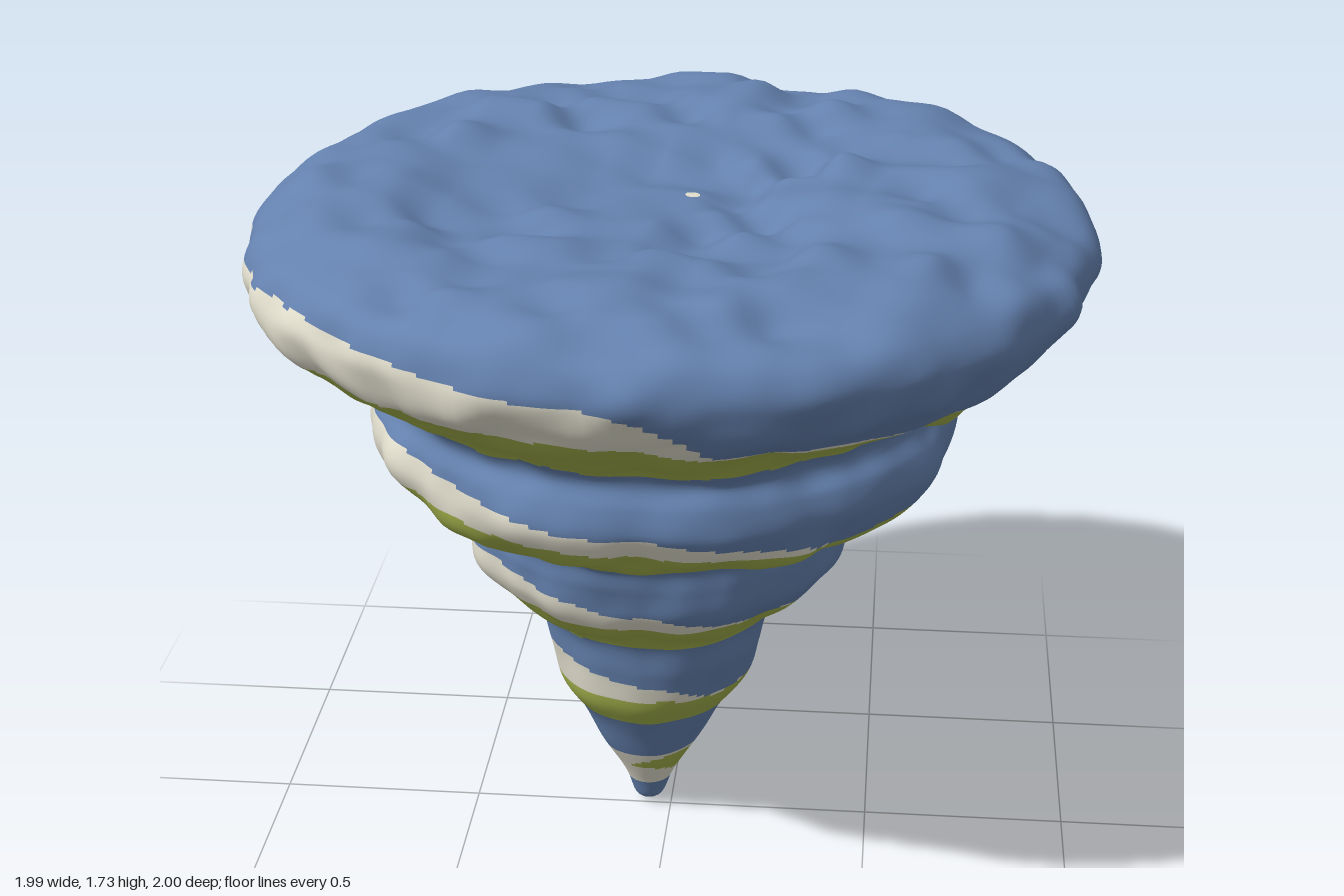
import * as THREE from 'three';

const RINGS = 310, SIDES = 200;
const { lerp, smoothstep, clamp } = THREE.MathUtils;

// Outline of the funnel as [radius, height], from the tip up and over the top
const OUTLINE = [
  [0.001, 0], [0.035, 0.02], [0.062, 0.09], [0.122, 0.2], [0.188, 0.33], [0.237, 0.4],
  [0.265, 0.5], [0.288, 0.6], [0.38, 0.68], [0.445, 0.76], [0.457, 0.84], [0.465, 0.905],
  [0.56, 0.95], [0.65, 1.02], [0.695, 1.1], [0.692, 1.17], [0.672, 1.22], [0.7, 1.265],
  [0.8, 1.33], [0.9, 1.4], [0.965, 1.47], [0.988, 1.535], [0.96, 1.605], [0.89, 1.65],
  [0.8, 1.668], [0.65, 1.68], [0.45, 1.665], [0.2, 1.63], [0.001, 1.61],
];

// Sideways drift of the axis as [height, x, z]
const AXIS = [[0, -0.06, -0.02], [0.5, -0.045, -0.015], [0.85, -0.035, 0],
  [1.1, -0.01, 0.015], [1.5, 0, 0], [2, 0, 0]];

// Stripes: bottom of green, top of green (thin side, wide side), top of cream on the wide side
const BANDS = [
  [0.6, 0.7, 0.722, 0.825], [0.34, 0.42, 0.422, 0.515],
  [0.915, 1.02, 1.065, 1.17], [1.255, 1.355, 1.425, 1.57],
];

function axisAt(y) {
  const i = Math.max(1, AXIS.findIndex(a => a[0] > y));
  const a = AXIS[i - 1], b = AXIS[i], t = Math.max(0, (y - a[0]) / (b[0] - a[0]));
  return [lerp(a[1], b[1], t), lerp(a[2], b[2], t)];
}

// Smooth value noise in the range -1 to 1
function hash(x, y, z) {
  let h = Math.imul(x, 374761393) ^ Math.imul(y, 668265263) ^ Math.imul(z, 2147424916);
  h = Math.imul(h ^ (h >>> 13), 1274126177);
  h = Math.imul(h ^ (h >>> 15), 2246822519);
  return ((h ^ (h >>> 16)) >>> 0) / 2147483648 - 1;
}
function noise(x, y, z) {
  const X = Math.floor(x), Y = Math.floor(y), Z = Math.floor(z);
  const u = smoothstep(x - X, 0, 1), v = smoothstep(y - Y, 0, 1), w = smoothstep(z - Z, 0, 1);
  const row = (b, c) => lerp(hash(X, b, c), hash(X + 1, b, c), u);
  const slab = c => lerp(row(Y, c), row(Y + 1, c), v);
  return lerp(slab(Z), slab(Z + 1), w);
}

// Which colour a face has: 0 blue, 1 green, 2 cream
function colourAt(x, y, z) {
  const [cx, cz] = axisAt(y);
  if (y > 1.5 && Math.hypot(x - 0.05, z + 0.02) < 0.018) return 2;
  if (y > 1.6) return 0;
  // How wide the cream stripe is in this direction: it fades to the back,
  // ends abruptly at the front of the top band and tapers on the lower ones
  const angle = Math.atan2(x - cx, z - cz);
  let d = angle * 180 / Math.PI + 65;
  if (d > 180) d -= 360;
  const t = Math.abs(d) / (d < 0 ? 85 : 72);
  let w = (1 - 0.4 * t * t) * (1 - smoothstep(t, d < 0 ? 0.45 : 0.9, d < 0 ? 1.15 : 1.1));
  if (d > 0 && y < 1.24) w = clamp(1.1 - d / 95, 0, 1);
  const h = y + 0.008 * noise(x * 9, y * 9 + 5, z * 9);
  // Lowest stripe is cream with a tilted streak of green
  if (h > 0.085 && h < 0.2) {
    const middle = 0.135 + 0.03 * Math.cos(angle - 0.5);
    return Math.abs(h - middle) < 0.03 * (1 - w / 0.75) ? 1 : 2;
  }
  const patch = 0.002 + 0.012 * noise(x * 7, 2.5, z * 7) + 0.012 * smoothstep(-Math.abs(d), -110, -75);
  for (const [bottom, thin, wide, creamTop] of BANDS) {
    const green = lerp(thin, wide, Math.min(1, w * 1.1));
    const cream = lerp(thin + patch, creamTop, w);
    if (h > bottom && h < green) return 1;
    if (h >= green && h < cream) return 2;
  }
  return 0;
}

function funnelGeometry() {
  const curve = new THREE.CatmullRomCurve3(OUTLINE.map(([r, y]) => new THREE.Vector3(r, y, 0)));
  curve.arcLengthDivisions = 800;
  const pos = [];
  for (let i = 0; i <= RINGS; i++) {
    const p = curve.getPointAt(i / RINGS), tan = curve.getTangentAt(i / RINGS);
    const r = Math.max(p.x, 0.001);
    const [cx, cz] = axisAt(p.y);
    const top = smoothstep(i / RINGS, 0.64, 0.74);
    // Small drift so the top closes slightly off centre
    const pinch = top * (1 - Math.min(1, r / 0.5));
    for (let j = 0; j < SIDES; j++) {
      const a = j / SIDES * Math.PI * 2, s = Math.sin(a), c = Math.cos(a);
      const x = r * s, z = r * c;
      // Lumps pushed out along the surface, stronger on the top
      const side = 0.013 * noise(x * 6, p.y * 6, z * 6) + 0.015 * noise(x * 11, p.y * 9, z * 11);
      const crown = 0.032 * noise(x * 4.3 + 9, 3.5, z * 4.3 + 0.4)
        + 0.042 * noise(x * 8.5 + z * 2, 7.5, z * 8.5 - x * 2) + 0.008;
      const push = lerp(side * Math.min(1, 0.15 + r * 1.4), crown, top);
      const out = r + push * tan.y * (r > 0.01 ? 1 : 0);
      // The top rises slightly towards the back
      const rise = -0.03 * z * top;
      pos.push(cx + out * s + 0.05 * pinch, p.y - push * tan.x + rise, cz + out * c - 0.02 * pinch);
    }
  }
  // Sort the faces by colour into geometry groups
  const faces = [[], [], []];
  for (let i = 0; i < RINGS; i++) {
    for (let j = 0; j < SIDES; j++) {
      const k = (j + 1) % SIDES;
      const a = i * SIDES + j, b = i * SIDES + k, c = b + SIDES, d = a + SIDES;
      const mid = n => (pos[a * 3 + n] + pos[b * 3 + n] + pos[c * 3 + n] + pos[d * 3 + n]) / 4;
      faces[colourAt(mid(0), mid(1), mid(2))].push(a, b, c, a, c, d);
    }
  }
  const geo = new THREE.BufferGeometry();
  geo.setAttribute('position', new THREE.Float32BufferAttribute(pos, 3));
  geo.setIndex(faces.flat());
  let start = 0;
  faces.forEach((f, m) => { geo.addGroup(start, f.length, m); start += f.length; });
  geo.computeVertexNormals();
  // Centre it and stand it on the ground
  geo.computeBoundingBox();
  const { min, max } = geo.boundingBox;
  geo.translate(-(min.x + max.x) / 2, -min.y, -(min.z + max.z) / 2);
  return geo;
}

export function createModel() {
  const material = (name, color) => {
    const m = new THREE.MeshStandardMaterial({ color });
    m.name = name;
    return m;
  };
  const model = new THREE.Group();
  model.name = 'stripedFunnel';
  const funnel = new THREE.Mesh(funnelGeometry(), [
    material('blue', 0x6481ae), material('green', 0xa2b04b), material('cream', 0xe2dfce),
  ]);
  funnel.name = 'funnelBody';
  model.add(funnel);
  return model;
}
